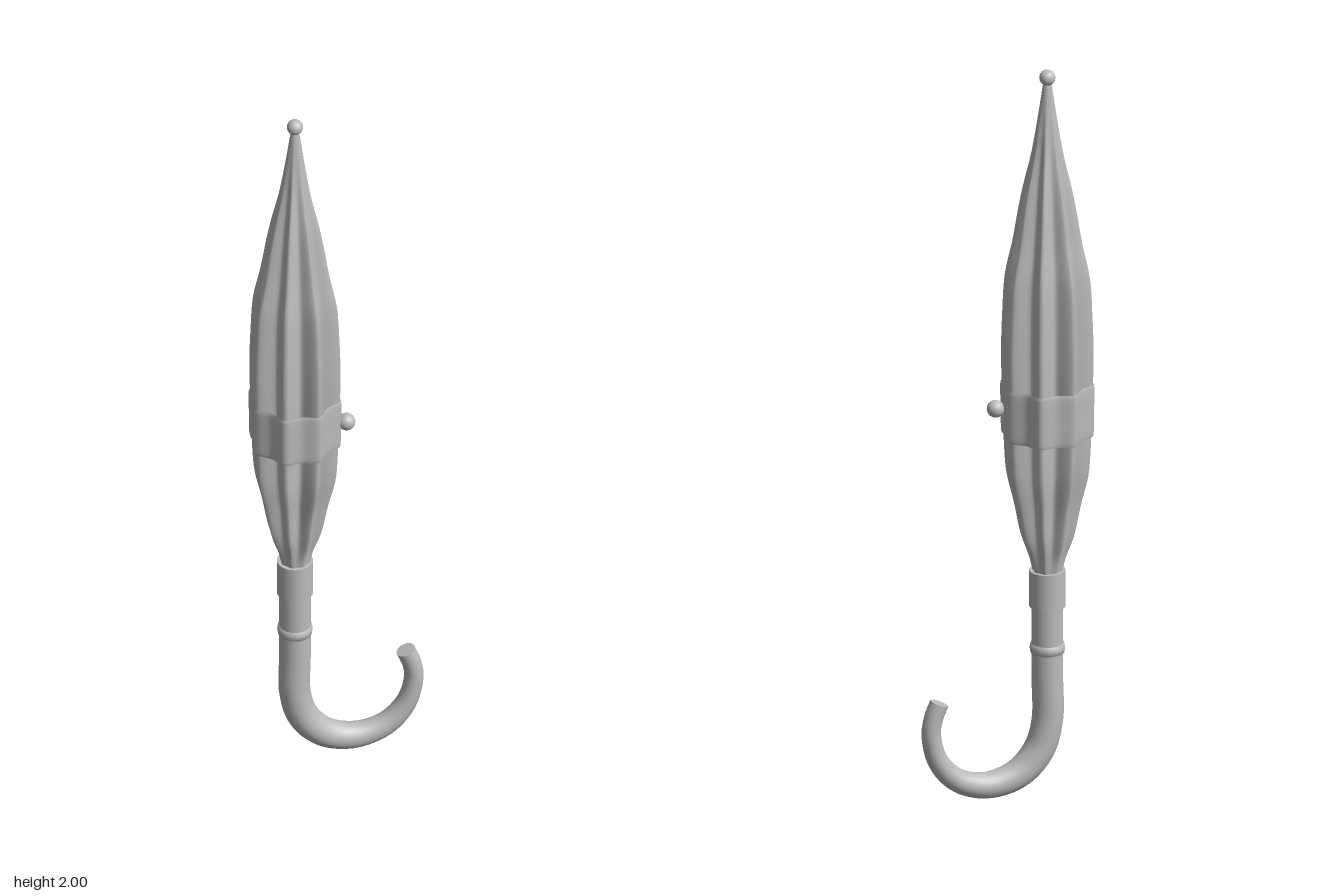
import * as THREE from 'three';

const RIBS = 8, STEPS = 12, AXIS = -0.113;
const OFFSET = THREE.MathUtils.degToRad(18);

// Loft of pleated rings, bottom to top; each row is [y, ridge radius, valley / ridge ratio]
function pleated(rows, rowCount) {
  const curve = new THREE.CatmullRomCurve3(rows.map(r => new THREE.Vector3(r[1], r[0], r[2])), false, 'centripetal');
  const n = RIBS * STEPS, pos = [], index = [];
  for (let i = 0; i <= rowCount; i++) {
    const p = curve.getPoint(i / rowCount);
    for (let j = 0; j < n; j++) {
      const a = OFFSET + (j / n) * Math.PI * 2;
      const dip = Math.pow(Math.sin(((j % STEPS) / STEPS) * Math.PI), 1.35);
      const r = p.x * (1 - (1 - p.z) * dip);
      pos.push(r * Math.cos(a), p.y, -r * Math.sin(a));
    }
  }
  for (let i = 0; i < rowCount; i++) {
    for (let j = 0; j < n; j++) {
      const k = (j + 1) % n;
      const a = i * n + j, b = i * n + k, c = b + n, d = a + n;
      index.push(a, b, c, a, c, d);
    }
  }
  const g = new THREE.BufferGeometry();
  g.setAttribute('position', new THREE.Float32BufferAttribute(pos, 3));
  g.setIndex(index);
  g.computeVertexNormals();
  return g;
}

export function createModel() {
  const group = new THREE.Group();
  const grey = new THREE.MeshStandardMaterial({ color: 0xbcbcbc, side: THREE.DoubleSide });
  grey.name = 'plain grey';
  const add = (name, geometry, x = AXIS, y = 0, z = 0) => {
    const m = new THREE.Mesh(geometry, grey);
    m.name = name;
    m.position.set(x, y, z);
    group.add(m);
    return m;
  };

  // Folded canopy with eight ribs
  add('canopy', pleated([
    [0.6, 0.036, 0.95], [0.65, 0.048, 0.85], [0.72, 0.072, 0.72], [0.8, 0.088, 0.68],
    [0.88, 0.107, 0.66], [0.95, 0.113, 0.66], [1.06, 0.116, 0.66], [1.2, 0.121, 0.66],
    [1.32, 0.118, 0.67], [1.43, 0.111, 0.68], [1.52, 0.092, 0.7], [1.62, 0.075, 0.72],
    [1.68, 0.063, 0.75], [1.76, 0.044, 0.82], [1.85, 0.028, 0.92], [1.97, 0.01, 1],
  ], 75));

  // Closing strap, pulled tight across the ribs
  add('strap', pleated([
    [0.99, 0.119, 0.86], [1.0, 0.121, 0.86], [1.06, 0.122, 0.86], [1.125, 0.123, 0.86], [1.135, 0.121, 0.86],
  ], 12));
  add('strapButton', new THREE.SphereGeometry(0.023, 24, 16), 0.013, 1.06, 0.045);

  // Ball on the tip
  add('tipBall', new THREE.SphereGeometry(0.021, 24, 16), AXIS, 1.979);

  // Collar under the canopy and ring on the shaft
  add('collar', new THREE.CylinderGeometry(0.047, 0.047, 0.1, 32), AXIS, 0.565);
  const ring = [[0.038, -0.014], [0.044, -0.012], [0.046, 0], [0.044, 0.012], [0.038, 0.014]];
  add('shaftRing', new THREE.LatheGeometry(ring.map(p => new THREE.Vector2(...p)), 32), AXIS, 0.4);

  // Hooked handle, a tube tapering towards its end
  const path = new THREE.CatmullRomCurve3([
    [-0.113, 0.53], [-0.113, 0.32], [-0.113, 0.2], [-0.09, 0.12], [-0.033, 0.06], [0.05, 0.038],
    [0.13, 0.06], [0.184, 0.118], [0.204, 0.195], [0.198, 0.24], [0.182, 0.281],
  ].map(([x, y]) => new THREE.Vector3(x, y, 0)), false, 'centripetal');
  const SEG = 80, SIDES = 24;
  const radiusAt = t => 0.041 - 0.016 * THREE.MathUtils.smoothstep(t, 0.42, 0.95);
  const tube = new THREE.TubeGeometry(path, SEG, 0.041, SIDES);
  const p = tube.attributes.position, nrm = tube.attributes.normal;
  for (let i = 0; i < p.count; i++) {
    const shrink = 0.041 - radiusAt(Math.floor(i / (SIDES + 1)) / SEG);
    p.setXYZ(i, p.getX(i) - nrm.getX(i) * shrink, p.getY(i) - nrm.getY(i) * shrink, p.getZ(i) - nrm.getZ(i) * shrink);
  }
  add('handle', tube, 0);

  // Flat end of the hook
  const end = path.getPointAt(1);
  const cap = add('handleEnd', new THREE.CircleGeometry(radiusAt(1), SIDES), end.x, end.y, end.z);
  cap.quaternion.setFromUnitVectors(new THREE.Vector3(0, 0, 1), path.getTangentAt(1));

  return group;
}
